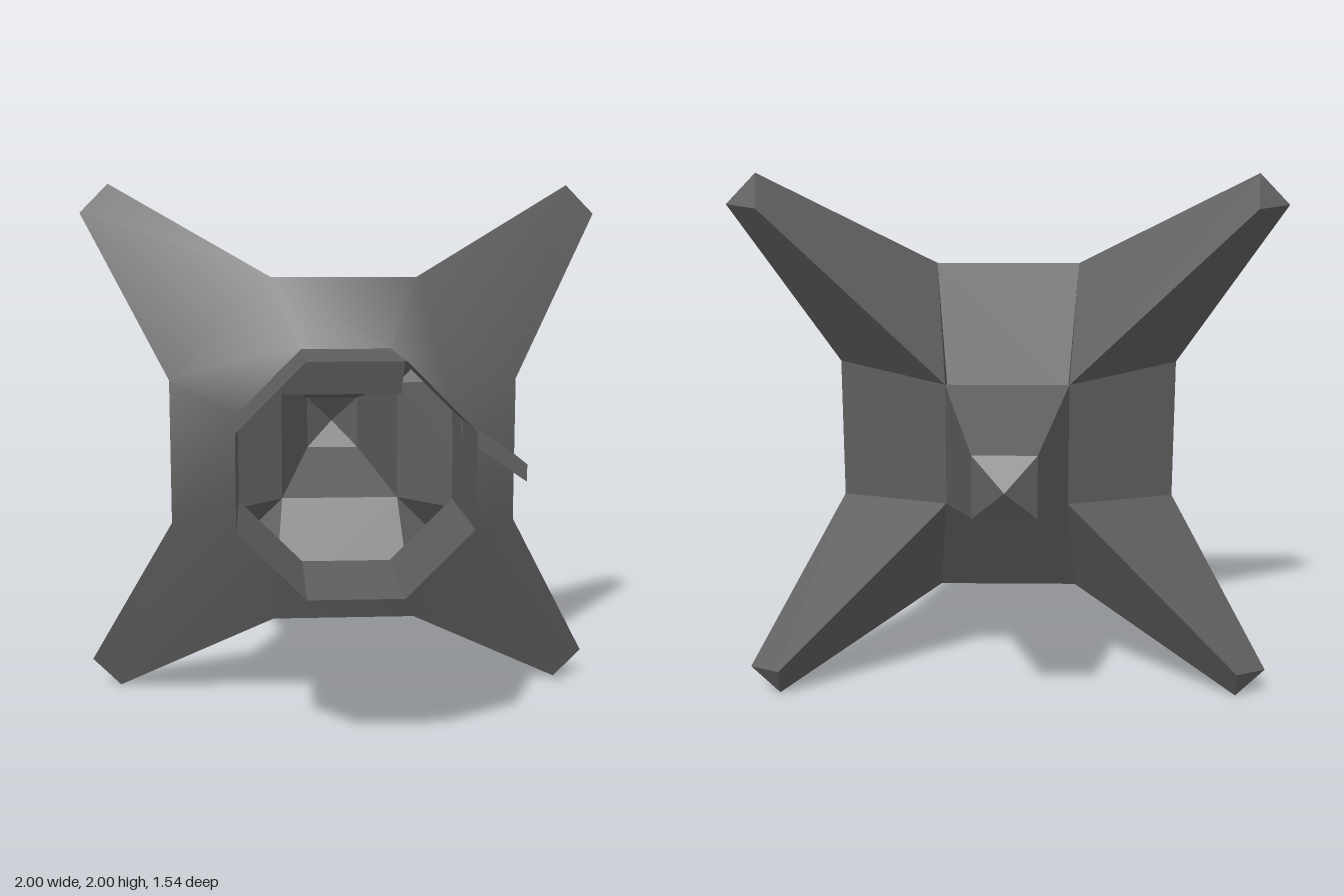
import * as THREE from 'three';
import { toCreasedNormals } from 'three/addons/utils/BufferGeometryUtils.js';

const CY = 1; // height of the central axis

// Rotate a point k quarter turns about the z axis
function turn([x, y, z], k) {
  for (let i = 0; i < k; i++) [x, y] = [-y, x];
  return [x, y, z];
}

// Build a surface from triangles and quads, smoothing below the crease angle
function faces(list, crease) {
  const pos = [];
  for (const f of list) {
    for (let i = 1; i < f.length - 1; i++) pos.push(...f[0], ...f[i], ...f[i + 1]);
  }
  const g = new THREE.BufferGeometry();
  g.setAttribute('position', new THREE.Float32BufferAttribute(pos, 3));
  g.computeVertexNormals();
  return toCreasedNormals(g, crease);
}

export function createModel() {
  const model = new THREE.Group();
  const darkGrey = new THREE.MeshStandardMaterial({ color: 0x5e5e5e, side: THREE.DoubleSide });
  darkGrey.name = 'darkGrey';

  const add = (name, geometry) => {
    const mesh = new THREE.Mesh(geometry, darkGrey);
    mesh.name = name;
    mesh.position.y = CY;
    model.add(mesh);
    return mesh;
  };

  // Key points of one quarter, around the axis
  const collarSide = [0.394, 0.163, 0.235], collarTop = [0.163, 0.394, 0.235];
  const rootSide = [0.65, 0.27, 0.105], rootTop = [0.27, 0.65, 0.105];
  const tipSide = [1, 0.89, -0.18], tipTop = [0.89, 1, -0.18];
  const tipBack = [0.88, 0.88, -0.255];
  const inner = [0.23, 0.23, -0.15];
  const spikeEnd = [0.11, 0.11, -0.7], apex = [0, 0, -0.77];
  const valley = [0.23, 0.2, -0.02];
  const flip = ([x, y, z]) => [-x, y, z];

  const front = [], arms = [], back = [], spike = [];
  for (let k = 0; k < 4; k++) {
    const t = (...pts) => pts.map((p) => turn(p, k));
    // Sloping front shell and the front faces of the arms
    front.push(
      t(collarSide, rootSide, rootTop, collarTop),
      t(rootSide, tipSide, tipTop, rootTop),
      t(collarTop, rootTop, flip(rootTop), flip(collarTop)));
    // Triangular arm backs
    arms.push(
      t(tipTop, tipSide, tipBack),
      t(rootTop, tipTop, tipBack, inner),
      t(tipSide, rootSide, inner, tipBack));
    // Webs between the arms, sunk into a valley on the top side
    if (k === 0) {
      back.push(
        t(rootTop, valley, flip(valley), flip(rootTop)),
        t(valley, inner, flip(inner), flip(valley)),
        t(rootTop, inner, valley),
        t(flip(rootTop), flip(valley), flip(inner)));
    } else {
      back.push(t(rootTop, inner, flip(inner), flip(rootTop)));
    }
    // Tapered rear spike
    spike.push(
      t(inner, spikeEnd, flip(spikeEnd), flip(inner)),
      t(spikeEnd, apex, flip(spikeEnd)));
  }
  add('frontShell', faces(front, 0.9));
  add('armBacks', faces(arms, 0.4));
  add('backWebs', faces(back, 0.4));
  add('rearSpike', faces(spike, 0.5));

  // Open eight-sided tube
  const tube = new THREE.CylinderGeometry(0.426, 0.426, 0.535, 8, 1, true);
  tube.rotateY(Math.PI / 8).rotateX(Math.PI / 2).translate(0, 0, 0.5025);
  add('frontTube', toCreasedNormals(tube, 0.4));

  // Slanted fin on the side of the tube
  const fin = new THREE.BoxGeometry(0.2, 0.06, 0.23);
  const p = fin.attributes.position;
  for (let i = 0; i < p.count; i++) {
    const out = p.getX(i) > 0;
    p.setXYZ(i, out ? 0.59 : 0.39, p.getY(i) + (out ? 0 : 0.13), p.getZ(i) + (out ? 0.515 : 0.35));
  }
  fin.computeVertexNormals();
  add('sideFin', fin);

  return model;
}
